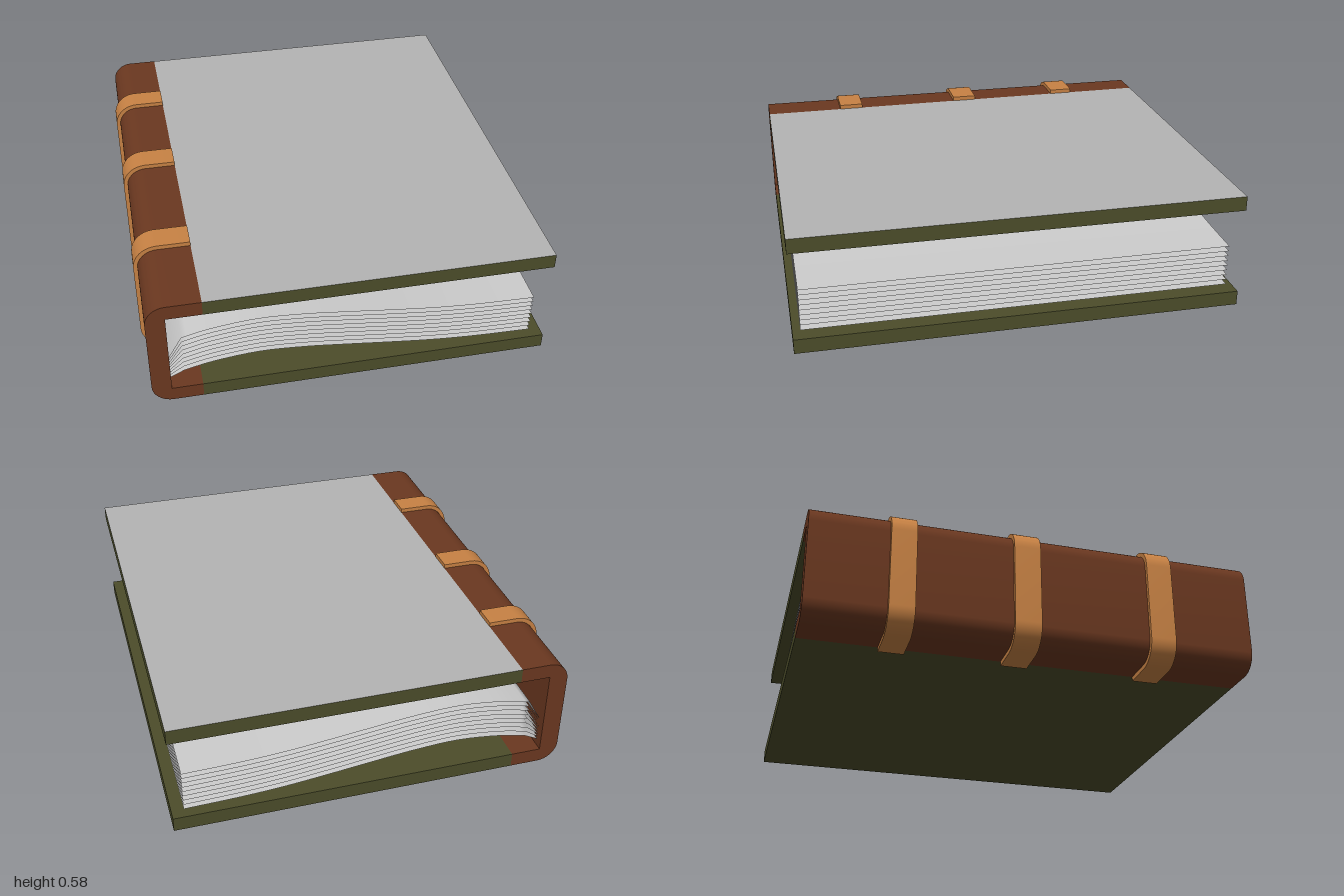
import * as THREE from 'three';
import { toCreasedNormals } from 'three/addons/utils/BufferGeometryUtils.js';

const BOTTOM_END = -0.655; // where the spine leather stops on the lower board
const topEnd = (z) => -0.645 + 0.01 * z; // slightly slanted seam on the upper board

const flat = (name, color, side = THREE.FrontSide) =>
  Object.assign(new THREE.MeshStandardMaterial({ color, side }), { name });

// C-shaped wrap open towards +x, swept along z
function wrapGeometry(left, innerLeft, y0, y1, thickness, outerR, innerR, z0, z1) {
  const s = new THREE.Shape();
  const t = thickness, end = -0.645;
  s.moveTo(BOTTOM_END, y0);
  s.lineTo(BOTTOM_END, y0 + t);
  s.lineTo(innerLeft + innerR, y0 + t);
  if (innerR) s.absarc(innerLeft + innerR, y0 + t + innerR, innerR, -Math.PI / 2, -Math.PI, true);
  s.lineTo(innerLeft, y1 - t - innerR);
  if (innerR) s.absarc(innerLeft + innerR, y1 - t - innerR, innerR, Math.PI, Math.PI / 2, true);
  s.lineTo(end, y1 - t);
  s.lineTo(end, y1);
  s.lineTo(left + outerR, y1);
  s.absarc(left + outerR, y1 - outerR, outerR, Math.PI / 2, Math.PI, false);
  s.lineTo(left, y0 + outerR);
  s.absarc(left + outerR, y0 + outerR, outerR, Math.PI, Math.PI * 1.5, false);
  const g = new THREE.ExtrudeGeometry(s, { depth: z1 - z0, bevelEnabled: false, curveSegments: 8 });
  g.translate(0, 0, z0);
  // follow the slanted seam on the upper arm
  const p = g.attributes.position;
  for (let i = 0; i < p.count; i++) {
    if (p.getY(i) > 0.3 && p.getX(i) > -0.7) p.setX(i, topEnd(p.getZ(i)));
  }
  return toCreasedNormals(g, 0.6);
}

// Board whose spine-side edge follows a given seam
function boardGeometry(y0, y1, seam) {
  const g = new THREE.BoxGeometry(1.5, y1 - y0, 2);
  g.translate(0, (y0 + y1) / 2, 0);
  const p = g.attributes.position;
  for (let i = 0; i < p.count; i++) p.setX(i, p.getX(i) > 0 ? 0.894 : seam(p.getZ(i)));
  g.computeVertexNormals();
  return g;
}

// One curved sheet; k runs from 0 (lowest) to 1 (highest)
function sheetGeometry(k) {
  const lift = 0.192 * k;
  const curve = new THREE.SplineCurve([
    [-0.73, 0.15], [-0.6, 0.18], [-0.4, 0.2], [-0.2, 0.19], [0, 0.167],
    [0.2, 0.142], [0.4, 0.12], [0.6, 0.107], [0.84, 0.1],
  ].map(([x, y]) => new THREE.Vector2(x, y + lift)));
  const profile = [new THREE.Vector2(-0.79, 0.12 + 0.115 * k), ...curve.getPoints(32)];
  const g = new THREE.PlaneGeometry(1, 1.93, profile.length - 1, 1);
  g.rotateX(-Math.PI / 2);
  const p = g.attributes.position;
  for (let i = 0; i < p.count; i++) {
    const v = profile[i % profile.length];
    p.setXY(i, v.x, v.y);
  }
  g.computeVertexNormals();
  return g;
}

export function createModel() {
  const book = new THREE.Group();
  book.name = 'book';
  const leather = flat('brown leather', 0x6b3820);
  const strap = flat('tan strap', 0xc88244);
  const olive = flat('olive board', 0x4c4d2a);
  const grey = flat('grey cover face', 0xb4b4b4);
  const paper = flat('paper', 0xcccccc, THREE.DoubleSide);

  const add = (name, geometry, material) => {
    const m = new THREE.Mesh(geometry, material);
    m.name = name;
    book.add(m);
  };

  // Spine wrapped around both boards
  add('spine', wrapGeometry(-0.876, -0.79, 0.02, 0.557, 0.067, 0.09, 0, -1, 1), leather);

  // Raised bands over the spine
  [[-0.65, -0.537], [-0.107, 0.012], [0.51, 0.627]].forEach(([z0, z1], i) =>
    add(`spineBand${i + 1}`, wrapGeometry(-0.894, -0.876, 0, 0.577, 0.02, 0.108, 0.09, z0, z1), strap));

  // Boards; the upper one has a grey outer face
  add('backCover', boardGeometry(0.02, 0.087, () => BOTTOM_END), olive);
  add('frontCover', boardGeometry(0.49, 0.557, topEnd), [olive, olive, grey, olive, olive, olive]);

  // Loose wavy pages
  const sheets = 9;
  for (let i = 0; i < sheets; i++) add(`page${i + 1}`, sheetGeometry(i / (sheets - 1)), paper);

  return book;
}
